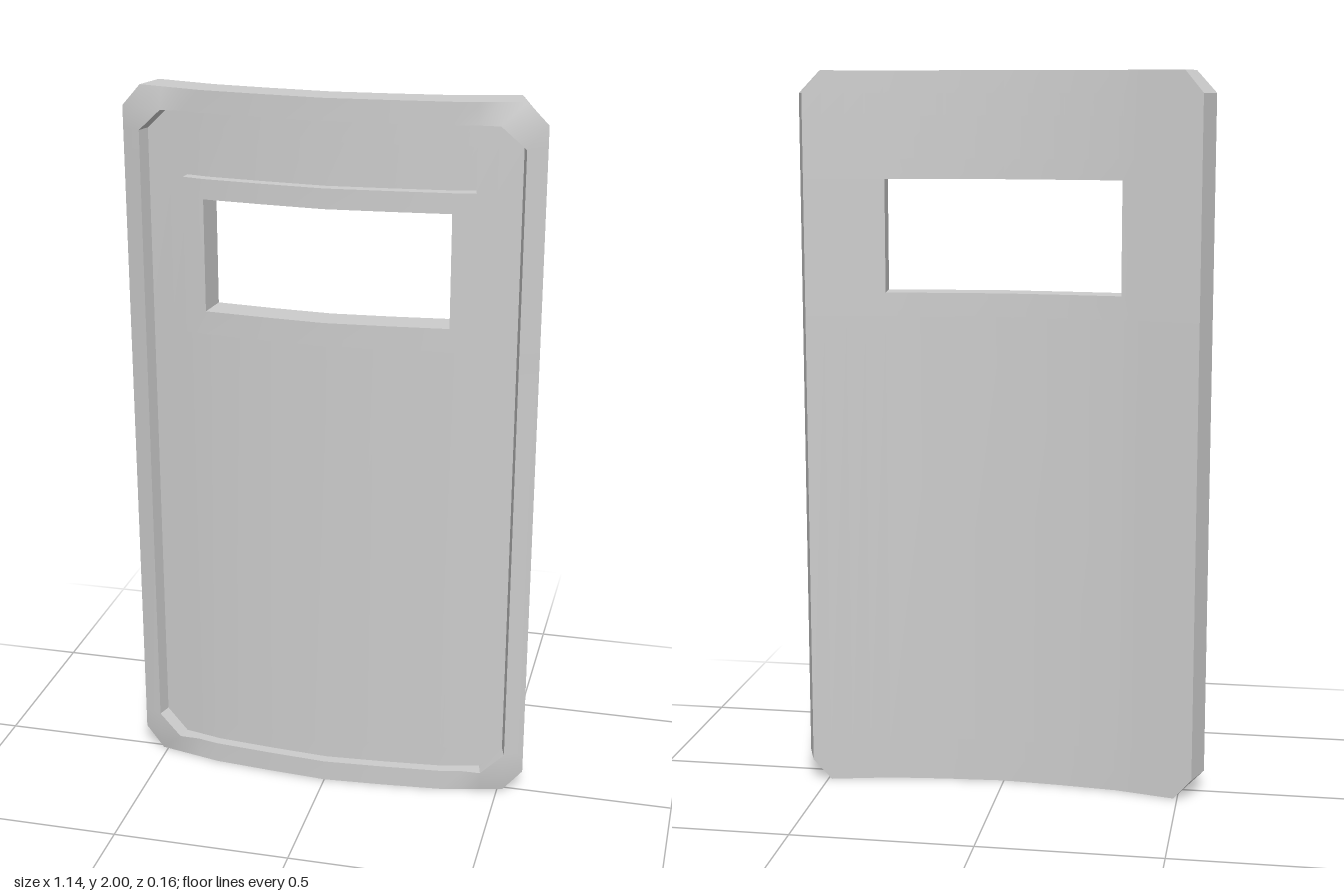
import * as THREE from 'three';
import { toCreasedNormals } from 'three/addons/utils/BufferGeometryUtils.js';

// Half of the curved section: [front x, front z, back x, back z]
const SECTION = [
  [0, 0.08, 0, -0.008],
  [0.17, 0.068, 0.165, -0.019],
  [0.335, 0.053, 0.325, -0.035],
  [0.57, 0, 0.54, -0.085],
];
// Grid lines of the shield: across, and up
const HALF = [0.17, 0.335, 0.395, 0.45, 0.515, 0.57];
const US = [...HALF.map((u) => -u).reverse(), 0, ...HALF];
const YS = [0, 0.06, 0.12, 1.335, 1.4, 1.71, 1.765, 1.88, 1.94, 2];
const RECESS = 0.66; // depth of the sunken panel, from back (0) to front (1)

// Bends a flat point onto the curved shield
function bend(u, y, w) {
  const a = Math.abs(u);
  let i = 0;
  while (i < SECTION.length - 2 && a > SECTION[i + 1][0]) i++;
  const p = SECTION[i], q = SECTION[i + 1];
  const t = (a - p[0]) / (q[0] - p[0]);
  const [fx, fz, bx, bz] = p.map((v, k) => v + (q[k] - v) * t);
  return [Math.sign(u) * (bx + (fx - bx) * w), y, bz + (fz - bz) * w];
}

// Joins flat polygons into one curved slab; walls shared by two polygons are dropped
function slab(name, cells, w0, w1, material) {
  const pos = [];
  const walls = new Map();
  const key = (a) => a.map((v) => v.toFixed(3)).join();
  const fan = (pts) => {
    for (let i = 1; i < pts.length - 1; i++) pos.push(...pts[0], ...pts[i], ...pts[i + 1]);
  };
  for (const { poly, front = true, back = true } of cells) {
    const p = THREE.ShapeUtils.area(poly.map(([x, y]) => new THREE.Vector2(x, y))) < 0
      ? [...poly].reverse() : poly;
    const lo = p.map(([u, y]) => bend(u, y, w0));
    const hi = p.map(([u, y]) => bend(u, y, typeof w1 === 'function' ? w1(u, y) : w1));
    if (front) fan(hi);
    if (back) fan([...lo].reverse());
    p.forEach((a, i) => {
      const j = (i + 1) % p.length;
      const twin = key(p[j]) + '|' + key(a);
      if (walls.has(twin)) walls.delete(twin);
      else walls.set(key(a) + '|' + key(p[j]), [lo[i], lo[j], hi[j], hi[i]]);
    });
  }
  walls.forEach(fan);
  const geometry = new THREE.BufferGeometry();
  geometry.setAttribute('position', new THREE.Float32BufferAttribute(pos, 3));
  const mesh = new THREE.Mesh(toCreasedNormals(geometry, 0.35), material);
  mesh.name = name;
  return mesh;
}

export function createModel() {
  const material = new THREE.MeshStandardMaterial({ color: 0xcccccc });
  const panel = [], rim = [], frame = [];

  for (let i = 0; i < US.length - 1; i++) {
    for (let j = 0; j < YS.length - 1; j++) {
      // inner and outer corner of the cell, away from the shield's middle
      const um = (US[i] + US[i + 1]) / 2, ym = (YS[j] + YS[j + 1]) / 2;
      const [ui, uo] = um > 0 ? [US[i], US[i + 1]] : [US[i + 1], US[i]];
      const [yi, yo] = ym > 1 ? [YS[j], YS[j + 1]] : [YS[j + 1], YS[j]];
      const a = Math.abs(um), e = Math.min(ym, 2 - ym);
      const square = [[ui, yi], [uo, yi], [uo, yo], [ui, yo]];
      const innerHalf = [[ui, yi], [uo, yi], [ui, yo]];
      const outerHalf = [[uo, yo], [uo, yi], [ui, yo]];

      if (a < 0.335 && ym > 1.4 && ym < 1.71) continue; // viewing window

      if (a > 0.515 && e < 0.06) { // chamfered outer corner
        panel.push({ poly: innerHalf, front: false });
        rim.push({ poly: innerHalf, back: false });
      } else if (a > 0.515 || e < 0.06) { // straight border
        panel.push({ poly: square, front: false });
        rim.push({ poly: square, back: false });
      } else if (a > 0.45 && e < 0.12) { // chamfered inner corner
        panel.push({ poly: innerHalf }, { poly: outerHalf, front: false });
        rim.push({ poly: outerHalf, back: false });
      } else if (a < 0.395 && ym > 1.335 && ym < 1.765) { // window surround
        panel.push({ poly: square, front: false });
        frame.push({ poly: square, back: false });
      } else {
        panel.push({ poly: square });
      }
    }
  }

  // The rim's inner edge stands slightly proud along the sides
  const rimFront = (u, y) => {
    const a = Math.abs(u);
    return a > 0.44 && a < 0.52 && y > 0.05 && y < 1.95 ? 1.13 : 1;
  };

  const group = new THREE.Group();
  group.name = 'shield';
  group.add(
    slab('curvedPanel', panel, 0, RECESS, material),
    slab('raisedRim', rim, RECESS, rimFront, material),
    slab('windowFrame', frame, RECESS, 1, material),
  );
  return group;
}
